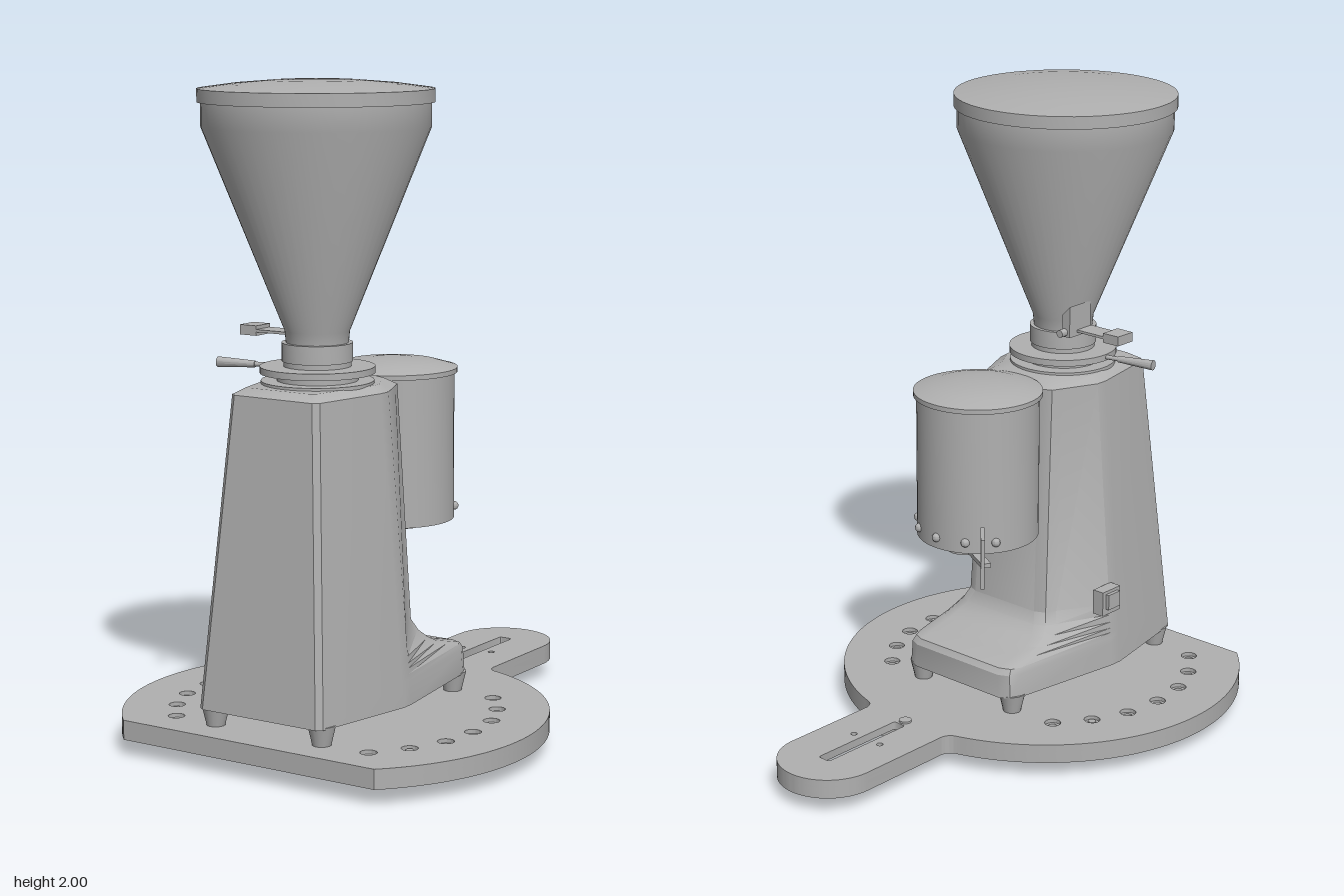
import * as THREE from 'three';
import { toCreasedNormals } from 'three/addons/utils/BufferGeometryUtils.js';

const AXIS_Z = 0.42; // centre of collar and hopper
const CAN_Z = 0.02; // centre of the dosing canister

export function createModel() {
  const group = new THREE.Group();
  const grey = new THREE.MeshStandardMaterial({ color: 0xb0b0b0 });
  grey.name = 'grey metal';

  const add = (name, geometry, x = 0, y = 0, z = 0) => {
    const mesh = new THREE.Mesh(toCreasedNormals(geometry, 0.5), grey);
    mesh.name = name;
    mesh.position.set(x, y, z);
    group.add(mesh);
    return mesh;
  };
  const lathe = (pts, seg = 48) => new THREE.LatheGeometry(pts.map(p => new THREE.Vector2(...p)), seg);
  const box = (name, w, h, d, x, y, z) => add(name, new THREE.BoxGeometry(w, h, d), x, y, z);
  // Cylinder between two points
  const rod = (name, a, b, r0, r1 = r0) => {
    const from = new THREE.Vector3(...a), dir = new THREE.Vector3(...b).sub(from);
    const mesh = add(name, new THREE.CylinderGeometry(r1, r0, dir.length(), 16));
    mesh.position.copy(from).addScaledVector(dir, 0.5);
    mesh.quaternion.setFromUnitVectors(new THREE.Vector3(0, 1, 0), dir.normalize());
    return mesh;
  };

  // Base plate: cut disc with a rounded tongue, in three layers
  const plateShape = () => {
    const s = new THREE.Shape();
    const a0 = Math.atan2(-0.465, 0.447), t = Math.atan2(0.655, 0.2);
    s.absarc(0, -0.33, 0.645, a0, t, false);
    s.absarc(0.2, 0.325, 0.04, t + Math.PI, Math.PI, true);
    s.absarc(0, 0.645, 0.16, 0, Math.PI, false);
    s.absarc(-0.2, 0.325, 0.04, 0, -t, true);
    s.absarc(0, -0.33, 0.645, Math.PI - t, Math.PI - a0, false);
    s.closePath();
    return s;
  };
  const circle = (x, z, r) => new THREE.Path().absarc(x, -z, r, 0, Math.PI * 2, true);
  const oval = (w, h, z0, z1, r) => { // rounded slot from z0 (front) to z1 (back)
    const p = new THREE.Path();
    p.absarc(w - r, -z0 + r, r, 0, -Math.PI / 2, true);
    p.absarc(-w + r, -z0 + r, r, -Math.PI / 2, -Math.PI, true);
    p.absarc(-w + r, -z1 - r, r, Math.PI, Math.PI / 2, true);
    p.absarc(w - r, -z1 - r, r, Math.PI / 2, 0, true);
    p.closePath();
    return p;
  };
  const holeSpots = [[0.345, -0.015], [0.42, 0.085], [0.47, 0.2], [0.485, 0.33],
    [0.47, 0.455], [0.42, 0.57], [0.345, 0.67]];
  const layer = (name, y, depth, r, pocket) => {
    const s = plateShape();
    for (const [x, z] of holeSpots) s.holes.push(circle(x, z, r), circle(-x, z, r));
    if (pocket) s.holes.push(oval(0.11, 0, -0.33, -0.755, 0.1));
    else s.holes.push(oval(0.022, 0, -0.34, -0.67, 0.008), circle(0.055, -0.485, 0.01), circle(-0.055, -0.485, 0.01));
    const g = new THREE.ExtrudeGeometry(s, { depth, bevelEnabled: false, curveSegments: 32 });
    add(name, g.rotateX(-Math.PI / 2), 0, y, 0);
  };
  layer('basePlateBottom', 0.05, 0.035, 0.015, true);
  layer('basePlateMiddle', 0.085, 0.013, 0.015, false);
  layer('basePlateTop', 0.098, 0.012, 0.025, false);

  // Levelling pins and tongue screw
  for (const [x, z] of [[-0.42, 0.085], [0.42, 0.57]]) {
    rod('levellingPin', [x, 0, z], [x, 0.105, z], 0.013);
  }
  rod('tongueScrew', [0, 0.07, -0.315], [0, 0.116, -0.315], 0.02);

  // Tapered feet
  for (const x of [-0.19, 0.19]) for (const z of [0.68, -0.03]) {
    rod('foot', [x, 0.11, z], [x, 0.17, z], 0.028, 0.042);
  }

  // Body: stacked sections [y, rear half width, rear z]
  const sections = [[0.165, 0.227, -0.08], [0.24, 0.222, -0.078], [0.258, 0.217, -0.066], [0.275, 0.215, 0],
    [0.29, 0.212, 0.06], [0.31, 0.205, 0.1], [0.335, 0.19, 0.128], [0.37, 0.175, 0.146],
    [1.095, 0.155, 0.19], [1.115, 0.125, 0.22]];
  const pos = [], index = [];
  let n = 0;
  for (const [y, rx, zr] of sections) {
    const k = (y - 0.165) / 0.93, inset = y > 1.1 ? 0.03 : 0;
    const fx = 0.22 - 0.065 * k - inset, mx = 0.287 - 0.08 * k - inset, zf = 0.73 - 0.085 * k - inset;
    const side = [[fx - 0.018, zf], [fx, zf - 0.014], [mx - 0.004, 0.39], [mx - 0.004, 0.35],
      [rx, zr + 0.05], [rx - 0.015, zr + 0.016], [rx - 0.05, zr]];
    const loop = [...side, ...side.map(([x, z]) => [-x, z]).reverse()];
    n = loop.length;
    for (const [x, z] of loop) pos.push(x, y, z);
  }
  const top = (sections.length - 1) * n;
  for (let s = 0; s < top; s += n) for (let i = 0; i < n; i++) {
    const a = s + i, b = s + (i + 1) % n;
    index.push(a, b, b + n, a, b + n, a + n);
  }
  for (let i = 1; i < n - 1; i++) index.push(0, i + 1, i, top, top + i, top + i + 1);
  const body = new THREE.BufferGeometry();
  body.setAttribute('position', new THREE.Float32BufferAttribute(pos, 3));
  body.setIndex(index);
  add('body', body);

  // Collar with adjusting disc, hopper and domed lid
  add('collar', lathe([[0, 1.1], [0.167, 1.1], [0.167, 1.123], [0.12, 1.123], [0.12, 1.145], [0.17, 1.145],
    [0.17, 1.165], [0.1, 1.165], [0.1, 1.18], [0.105, 1.18], [0.105, 1.235], [0, 1.235]]), 0, 0, AXIS_Z);
  add('hopper', lathe([[0, 1.23], [0.092, 1.23], [0.096, 1.27], [0.335, 1.865], [0.335, 1.935], [0, 1.935]]), 0, 0, AXIS_Z);
  add('hopperLid', lathe([[0, 1.935], [0.345, 1.935], [0.345, 1.974], [0.25, 1.987], [0.13, 1.997], [0, 2]]), 0, 0, AXIS_Z);

  // Adjusting lever with thick handle
  rod('adjustingLever', [-0.15, 1.155, 0.43], [-0.23, 1.155, 0.445], 0.007);
  rod('adjustingHandle', [-0.21, 1.155, 0.442], [-0.33, 1.155, 0.465], 0.01, 0.016);

  // Hopper shutter slide, knob and rear fin
  box('shutterSlide', 0.17, 0.008, 0.07, -0.15, 1.25, 0.38);
  box('shutterKnob', 0.06, 0.03, 0.07, -0.255, 1.25, 0.38);
  const fin = new THREE.Shape([[0, 0], [0.03, 0], [0.03, 0.07], [0, 0.1]].map(p => new THREE.Vector2(...p)));
  add('shutterFin', new THREE.ExtrudeGeometry(fin, { depth: 0.1, bevelEnabled: false }), -0.12, 1.235, 0.31);
  rod('shutterScrew', [-0.1, 1.25, 0.285], [-0.1, 1.25, 0.32], 0.012);

  // Dosing canister with lid, bolts and outlet
  add('canister', lathe([[0, 0.645], [0.19, 0.645], [0.19, 1.1], [0, 1.1]]), 0, 0, CAN_Z);
  add('canisterLid', lathe([[0, 1.098], [0.2, 1.098], [0.2, 1.113], [0.14, 1.13], [0.07, 1.138], [0, 1.14]]), 0, 0, CAN_Z);
  for (const a of [-2.6, -2.1, -1.57, -1.04, -0.54]) {
    add('canisterBolt', new THREE.SphereGeometry(0.014, 12, 8), 0.19 * Math.cos(a), 0.68, CAN_Z + 0.19 * Math.sin(a));
  }
  add('outlet', lathe([[0.045, 0.646], [0.045, 0.605], [0.055, 0.605], [0.055, 0.646]], 24), 0, 0, -0.04);
  box('canisterMount', 0.16, 0.3, 0.1, 0, 0.9, 0.17);

  // Dosing lever under the canister: flat arm and upright paddle
  const arm = box('dosingArm', 0.2, 0.014, 0.03, -0.09, 0.625, -0.09);
  arm.rotation.y = -0.5;
  const paddle = box('dosingPaddle', 0.105, 0.16, 0.012, -0.187, 0.66, -0.165);
  paddle.rotation.y = -0.83;

  // Power switch on the right side
  box('switchFrame', 0.04, 0.08, 0.085, -0.278, 0.4, 0.32);
  box('switchRocker', 0.03, 0.05, 0.055, -0.295, 0.405, 0.32);

  return group;
}
